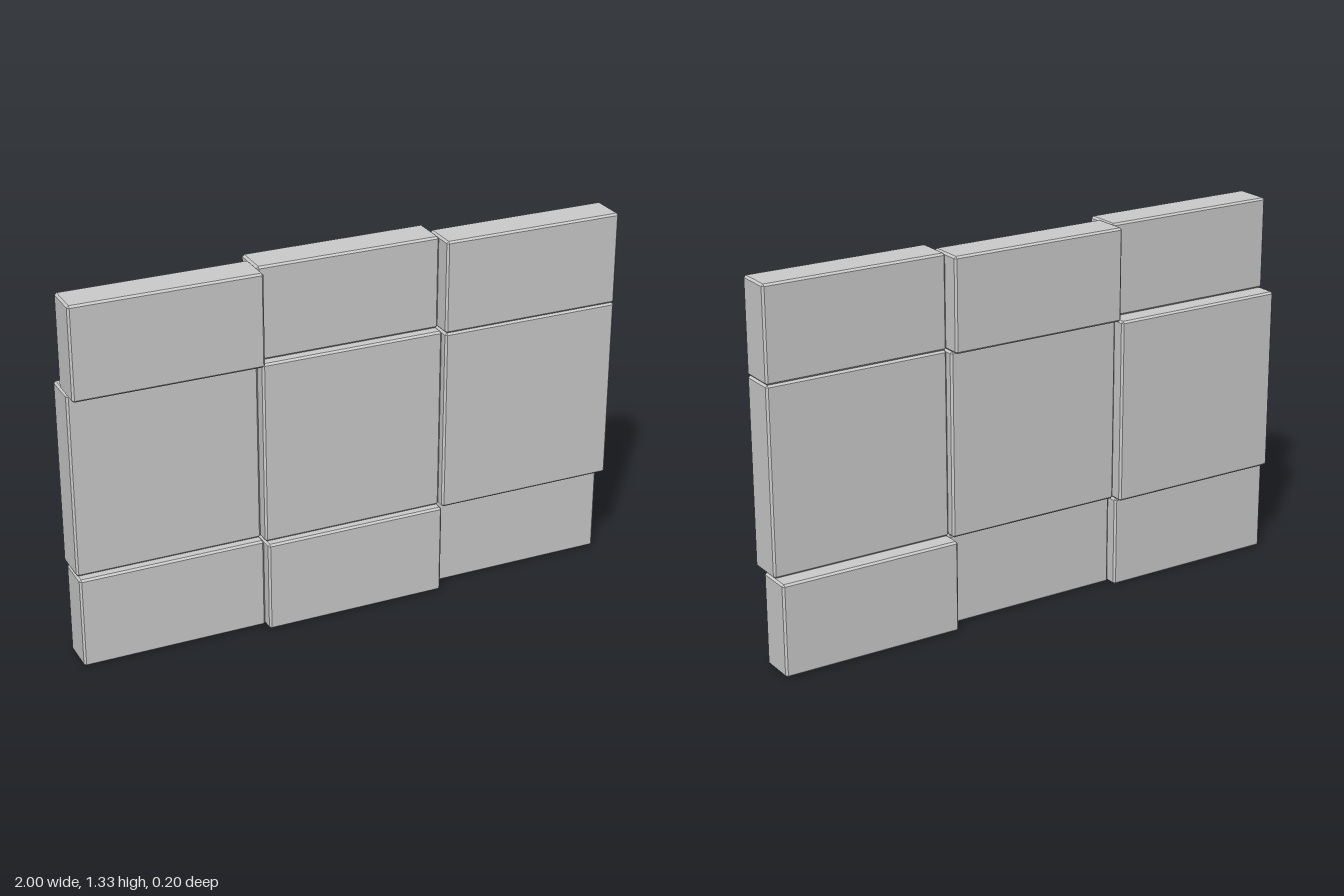
import * as THREE from 'three';
import { ConvexGeometry } from 'three/addons/geometries/ConvexGeometry.js';

const DEPTH = 2 / 15;
const CHAMFER = 0.007;

// Box with all edges cut at 45 degrees: each corner becomes three points
function chamferedBox(w, h, d, c) {
  const points = [];
  for (const sx of [-1, 1]) for (const sy of [-1, 1]) for (const sz of [-1, 1]) {
    const x = w / 2, y = h / 2, z = d / 2;
    points.push(
      new THREE.Vector3(sx * x, sy * (y - c), sz * (z - c)),
      new THREE.Vector3(sx * (x - c), sy * y, sz * (z - c)),
      new THREE.Vector3(sx * (x - c), sy * (y - c), sz * z)
    );
  }
  return new ConvexGeometry(points);
}

export function createModel() {
  const group = new THREE.Group();
  group.name = 'steppedPanelWall';
  const material = new THREE.MeshStandardMaterial({ color: 0xcccccc });
  const columns = ['right', 'middle', 'left']; // from -x to +x
  const width = 2 / 3;

  // Rows of blocks, each with the depth position of its three blocks
  const rows = [
    { name: 'bottom', y: 1 / 6, height: 1 / 3, z: [-0.005, 0.033, -0.026] },
    { name: 'centre', y: 2 / 3, height: 2 / 3, z: [-0.033, 0.007, 0.033] },
    { name: 'top', y: 7 / 6, height: 1 / 3, z: [0.033, -0.026, 0.033] },
  ];

  for (const row of rows) {
    const geometry = chamferedBox(width, row.height, DEPTH, CHAMFER);
    columns.forEach((column, i) => {
      const block = new THREE.Mesh(geometry, material);
      block.name = `${row.name} ${column} block`;
      block.position.set((i - 1) * width, row.y, row.z[i]);
      group.add(block);
    });
  }
  return group;
}
